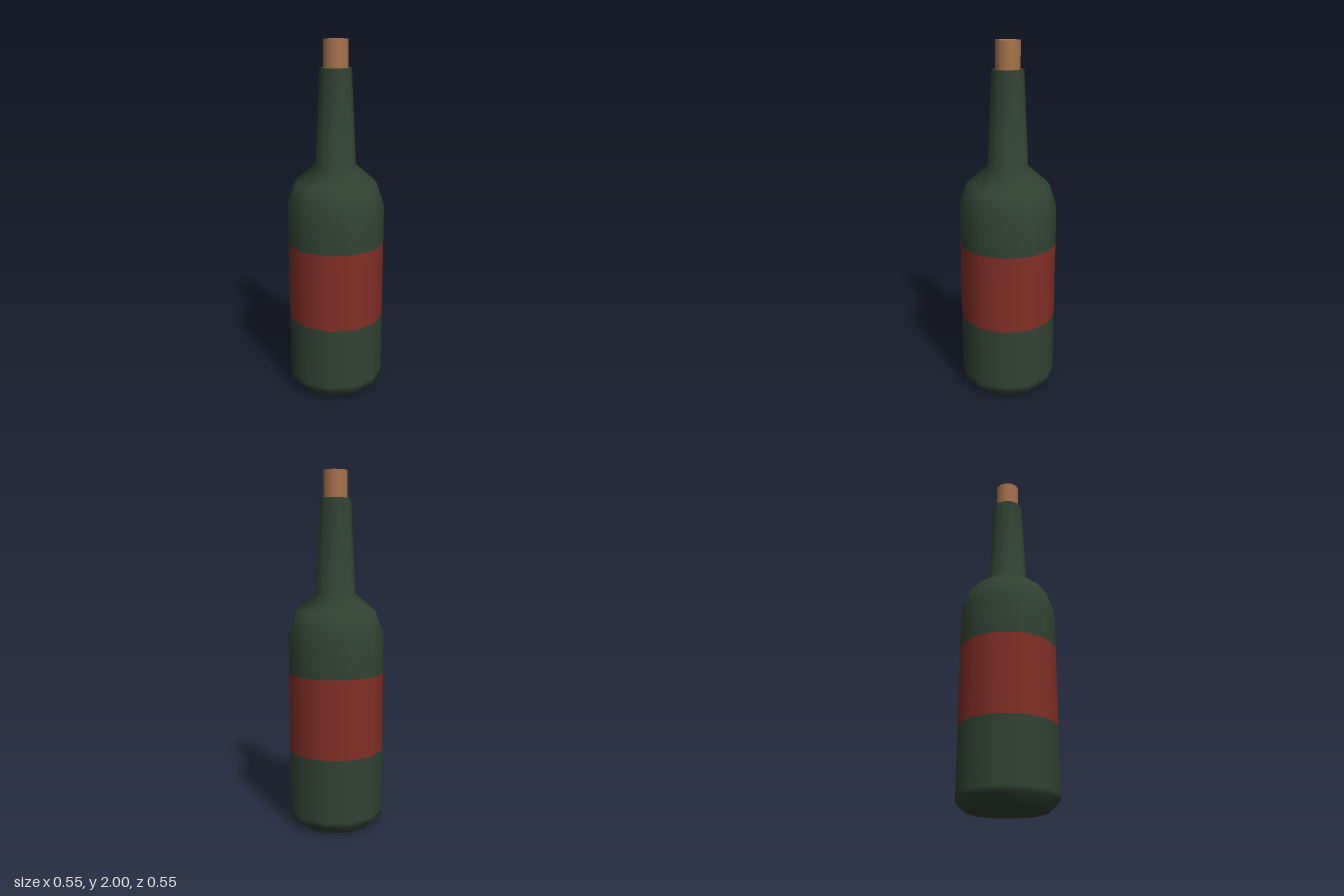
import * as THREE from 'three';

const SIDES = 12;

export function createModel() {
  const bottle = new THREE.Group();
  bottle.name = 'bottle';

  const material = (name, color) => {
    const m = new THREE.MeshStandardMaterial({ color });
    m.name = name;
    return m;
  };
  const glass = material('greenGlass', 0x314333);
  const paper = material('redLabel', 0x822f25);
  const cork = material('cork', 0xa8744b);

  // Turned part from [radius, height] pairs, listed bottom to top
  const turned = (name, mat, profile) => {
    const points = profile.map(([r, y]) => new THREE.Vector2(r, y));
    const mesh = new THREE.Mesh(new THREE.LatheGeometry(points, SIDES), mat);
    mesh.name = name;
    bottle.add(mesh);
  };

  // Glass: flat base, lower body, shoulder with neck, flat rim
  turned('base', glass, [[0, 0], [0.222, 0]]);
  turned('lowerBody', glass, [[0.222, 0], [0.274, 0.05], [0.274, 0.08], [0.274, 0.435]]);
  turned('shoulderAndNeck', glass, [
    [0.274, 0.88], [0.274, 1.1], [0.23, 1.23], [0.113, 1.33], [0.088, 1.85],
  ]);
  turned('rim', glass, [[0.088, 1.85], [0, 1.85]]);

  // Label band, flush with the glass
  turned('label', paper, [[0.274, 0.435], [0.274, 0.88]]);

  // Stopper
  const stopper = new THREE.Mesh(new THREE.CylinderGeometry(0.068, 0.068, 0.2, SIDES), cork);
  stopper.name = 'stopper';
  stopper.position.y = 1.9;
  bottle.add(stopper);

  return bottle;
}
